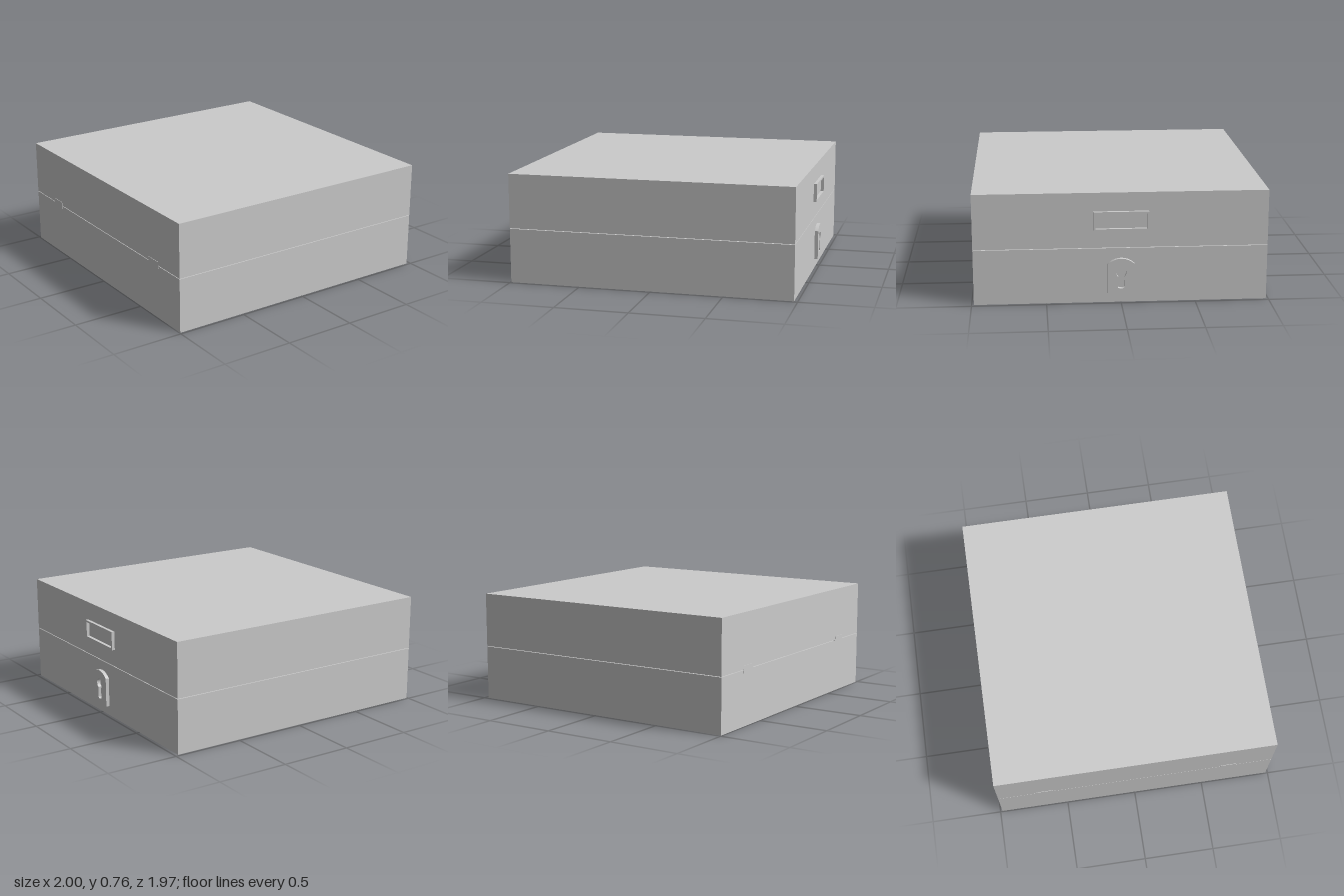
import * as THREE from 'three';

const material = new THREE.MeshStandardMaterial({ color: 0xcccccc, flatShading: true });

const SIZE = 1.97;      // width and depth of the case
const CX = -0.01;       // case centre in x
const RIGHT = CX + SIZE / 2;
const LEFT = CX - SIZE / 2;
const SEAM = 0.38;      // height of the opening
const GAP = 0.004;
const WALL = 0.05;

function add(parent, name, geometry, x, y, z) {
  const mesh = new THREE.Mesh(geometry, material);
  mesh.name = name;
  mesh.position.set(x, y, z);
  parent.add(mesh);
  return mesh;
}

function rectangle(Type, w, h) {
  return new Type([[-1, -1], [1, -1], [1, 1], [-1, 1]]
    .map(([x, y]) => new THREE.Vector2(x * w / 2, y * h / 2)));
}

// Extrudes a shape outwards from the +x side of the case
function sidePlate(shape, depth) {
  return new THREE.ExtrudeGeometry(shape, { depth, bevelEnabled: false, curveSegments: 12 })
    .rotateY(Math.PI / 2);
}

// Open tray: solid panel plus a ring of walls, rising from y = 0
function makeTray(name, height) {
  const tray = new THREE.Group();
  tray.name = name;
  add(tray, name + 'Panel', new THREE.BoxGeometry(SIZE, WALL, SIZE), 0, WALL / 2, 0);
  const ring = rectangle(THREE.Shape, SIZE, SIZE);
  ring.holes.push(rectangle(THREE.Path, SIZE - 2 * WALL, SIZE - 2 * WALL));
  const walls = new THREE.ExtrudeGeometry(ring, { depth: height - WALL, bevelEnabled: false })
    .rotateX(-Math.PI / 2);
  add(tray, name + 'Walls', walls, 0, WALL, 0);
  tray.position.x = CX;
  return tray;
}

export function createModel() {
  const model = new THREE.Group();
  model.name = 'case';

  // Base and lid, the lid being the same tray turned over
  const base = makeTray('base', SEAM - GAP / 2);
  const lid = makeTray('lid', 0.76 - SEAM - GAP / 2);
  lid.rotation.x = Math.PI;
  lid.position.y = 0.76;
  model.add(base, lid);

  // Shallow rectangular label frame on the lid
  const frame = rectangle(THREE.Shape, 0.37, 0.13);
  frame.holes.push(rectangle(THREE.Path, 0.344, 0.104));
  add(model, 'labelFrame', sidePlate(frame, 0.022), RIGHT, 0.568, 0);

  // Lock plate with an arched top and a keyhole
  const plate = new THREE.Shape();
  plate.moveTo(-0.09, 0.067);
  plate.lineTo(0.09, 0.067);
  plate.lineTo(0.09, 0.272);
  const r = (0.09 ** 2 + 0.038 ** 2) / (2 * 0.038);
  const a = Math.asin(0.09 / r);
  plate.absarc(0, 0.31 - r, r, Math.PI / 2 - a, Math.PI / 2 + a, false);
  plate.closePath();
  const keyhole = new THREE.Path();
  keyhole.moveTo(-0.022, 0.108);
  keyhole.quadraticCurveTo(0, 0.096, 0.022, 0.108);
  keyhole.lineTo(0.019, 0.18);
  keyhole.absarc(0, 0.213, 0.035, -0.95, Math.PI + 0.95, false);
  keyhole.lineTo(-0.019, 0.18);
  keyhole.closePath();
  plate.holes.push(keyhole);
  add(model, 'lockPlate', sidePlate(plate, 0.025), RIGHT, 0, 0);

  // Inner catch bridging the seam behind the lock
  add(model, 'catch', new THREE.BoxGeometry(0.012, 0.08, 0.1), 0.88, SEAM, 0);

  // Hinges let into the opposite side
  for (const z of [-0.65, 0.67]) {
    add(model, 'hinge', new THREE.BoxGeometry(0.02, 0.05, 0.116), LEFT + 0.007, SEAM + 0.003, z);
  }

  return model;
}
